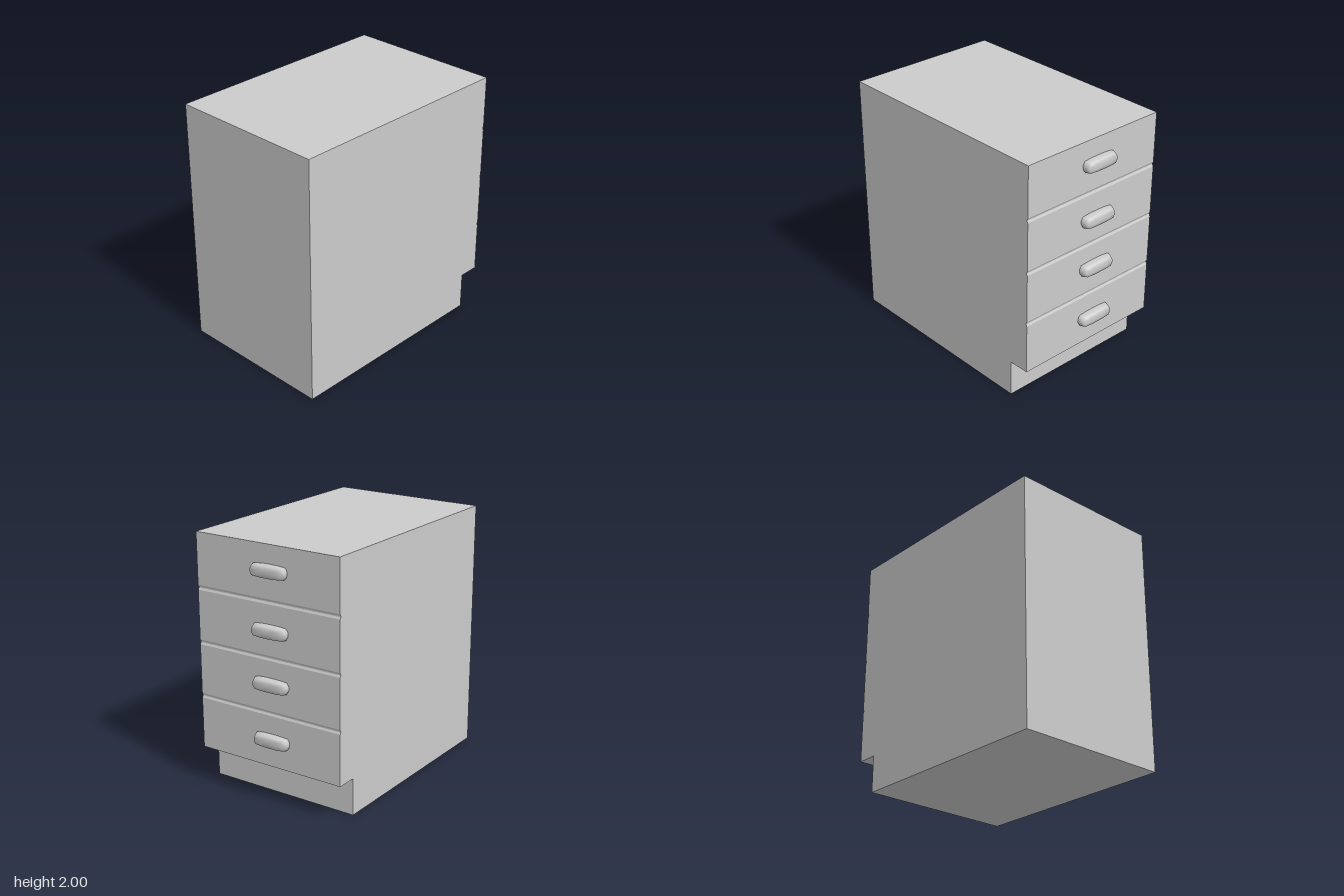
import * as THREE from 'three';

const material = new THREE.MeshStandardMaterial({ color: 0xcccccc });
const HALF_DEPTH = 0.637, FACE_X = 0.917, BACK_X = -0.984;

// Side silhouette with toe kick and drawer grooves, extruded across z
function cabinetGeometry() {
  const s = new THREE.Shape();
  s.moveTo(BACK_X, 0);
  s.lineTo(0.75, 0);
  s.lineTo(0.75, 0.295);
  s.lineTo(FACE_X, 0.295);
  for (const y of [0.72, 1.15, 1.577]) {
    s.lineTo(FACE_X, y - 0.02);
    s.lineTo(FACE_X - 0.008, y - 0.005);
    s.lineTo(FACE_X - 0.008, y + 0.002);
    s.lineTo(FACE_X, y + 0.018);
  }
  s.lineTo(FACE_X, 2);
  s.lineTo(BACK_X, 2);
  s.closePath();
  const g = new THREE.ExtrudeGeometry(s, { depth: HALF_DEPTH * 2, bevelEnabled: false });
  return g.translate(0, 0, -HALF_DEPTH);
}

// Bulging pull: chamfered outline lofted outward from the drawer face
function handleGeometry() {
  const quarter = [[0, 0.05], [0.07, 0.049], [0.138, 0.043], [0.154, 0.014]];
  const outline = [
    ...quarter,
    ...quarter.slice().reverse().map(([z, y]) => [z, -y]),
    ...quarter.slice(1).map(([z, y]) => [-z, -y]),
    ...quarter.slice(1).reverse().map(([z, y]) => [-z, y]),
  ];
  // Layers: distance from face, length scale, height scale
  const layers = [[-0.005, 0.97, 0.94], [0.012, 1, 1], [0.035, 0.96, 0.97], [0.058, 0.89, 0.86], [0.064, 0.5, 0.45]];
  const n = outline.length, pos = [], idx = [];
  for (const [x, sz, sy] of layers)
    for (const [z, y] of outline) pos.push(x, y * sy, z * sz);
  for (let l = 0; l < layers.length - 1; l++)
    for (let i = 0; i < n; i++) {
      const a = l * n + i, b = l * n + (i + 1) % n;
      idx.push(a, b, b + n, a, b + n, a + n);
    }
  const last = (layers.length - 1) * n;
  pos.push(0.066, 0, 0);
  for (let i = 0; i < n; i++) idx.push(last + i, last + (i + 1) % n, last + n);
  const g = new THREE.BufferGeometry();
  g.setAttribute('position', new THREE.Float32BufferAttribute(pos, 3));
  g.setIndex(idx);
  g.computeVertexNormals();
  return g;
}

export function createModel() {
  const model = new THREE.Group();
  model.name = 'drawerCabinet';

  const cabinet = new THREE.Mesh(cabinetGeometry(), material);
  cabinet.name = 'cabinet';
  model.add(cabinet);

  // One handle per drawer
  const pull = handleGeometry();
  [0.51, 0.95, 1.36, 1.808].forEach((y, i) => {
    const handle = new THREE.Mesh(pull, material);
    handle.name = `drawerHandle${i + 1}`;
    handle.position.set(FACE_X, y, -0.038);
    model.add(handle);
  });
  return model;
}
